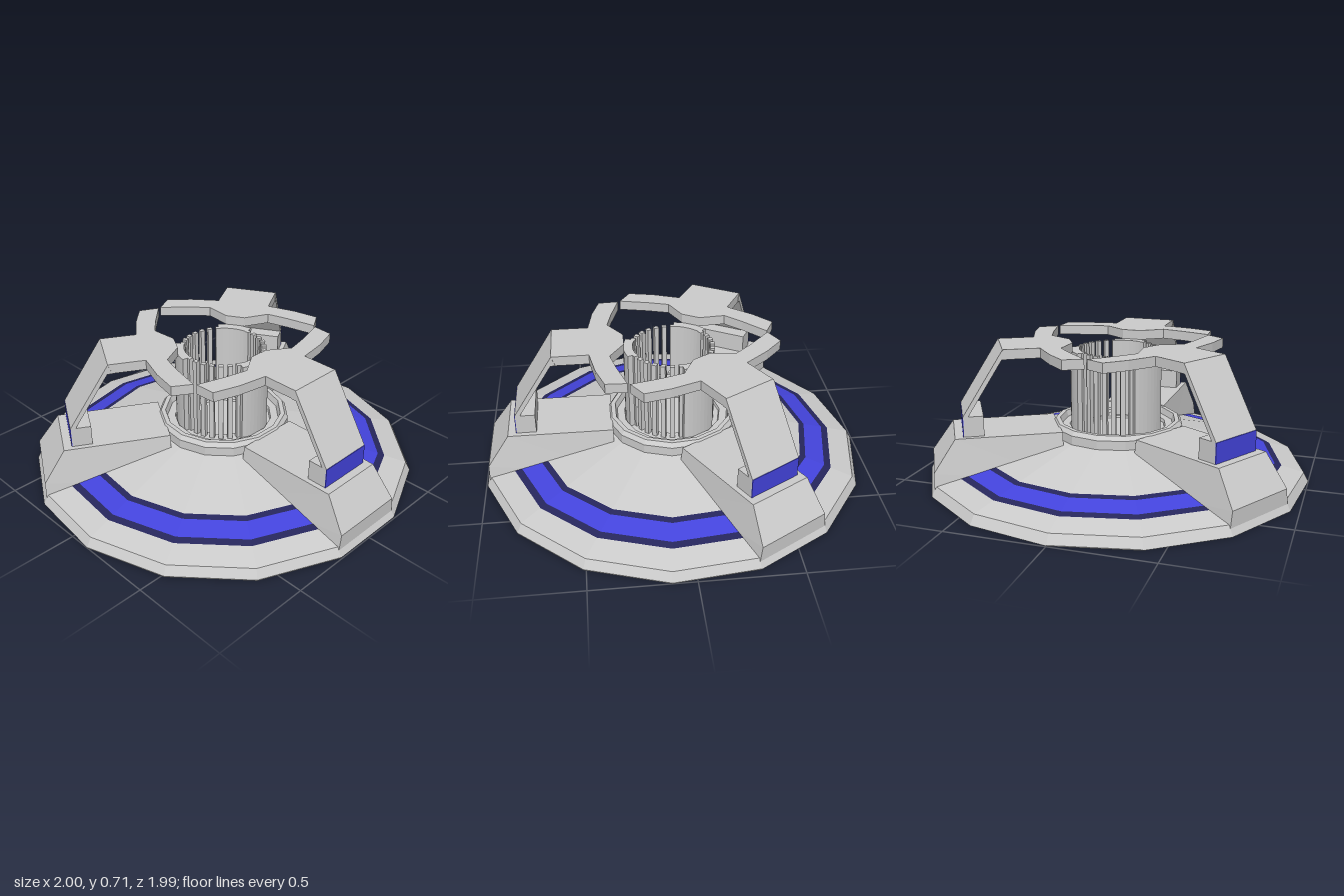
import * as THREE from 'three';

const SIDES = 15;
const mat = (color) => new THREE.MeshStandardMaterial({ color, flatShading: true, side: THREE.DoubleSide });

export function createModel() {
  const grey = mat(0xcccccc), blue = mat(0x4444dd), navy = mat(0x26265c);
  const model = new THREE.Group();
  model.name = 'landingPlatform';
  const body = new THREE.Group();
  body.name = 'body';
  body.position.z = 0.011; // a 15-sided disc is not symmetric front to back
  model.add(body);

  const add = (parent, name, geometry, material = grey) => {
    const mesh = new THREE.Mesh(geometry, material);
    mesh.name = name;
    parent.add(mesh);
    return mesh;
  };
  const vectors = (pts) => pts.map(([x, y]) => new THREE.Vector2(x, y));
  const lathe = (pts) => new THREE.LatheGeometry(vectors(pts), SIDES, Math.PI);

  // Extrudes a side profile (radius, height) to a given width
  const sideExtrude = (pts, width) => {
    const g = new THREE.ExtrudeGeometry(new THREE.Shape(vectors(pts)), { depth: width, bevelEnabled: false });
    g.translate(0, 0, -width / 2);
    g.rotateY(-Math.PI / 2);
    return g;
  };
  // Extrudes a plan outline (x, z) downward from a top height
  const planExtrude = (pts, top, depth) => {
    const g = new THREE.ExtrudeGeometry(new THREE.Shape(vectors(pts)), { depth, bevelEnabled: false });
    g.rotateX(Math.PI / 2);
    g.translate(0, top, 0);
    return g;
  };

  // Shallow faceted cone with a coloured band
  const slope = (r) => [r, 0.05 + (0.98 - r) * 0.265];
  add(body, 'baseRim', lathe([[0, 0], [1.0055, 0], [1.0055, 0.004], [0.98, 0.05], slope(0.865)]));
  add(body, 'bandOuterEdge', lathe([slope(0.865), slope(0.83)]), navy);
  add(body, 'band', lathe([slope(0.83), slope(0.73)]), blue);
  add(body, 'bandInnerEdge', lathe([slope(0.73), slope(0.7)]), navy);
  add(body, 'baseCone', lathe([slope(0.7), slope(0.34)]));

  // Stepped collar around the central column
  add(body, 'collar', lathe([
    [0.345, 0.21], [0.345, 0.265], [0.328, 0.287], [0.305, 0.287],
    [0.295, 0.255], [0.255, 0.255], [0.25, 0.24], [0.18, 0.24], [0.175, 0.23], [0, 0.23],
  ]));

  // Outline of the clawed top plate: right half, then mirrored
  const half = [[0.14, 0.605], [0.14, 0.42], [0.29, 0.395], [0.415, 0.355],
    [0.42, 0.25], [0.27, 0.295], [0.16, 0.32], [0.05, 0.245]];
  const outline = [...half, ...half.map(([x, z]) => [-x, z]).reverse()];

  // Three identical legs with their share of the column
  for (let i = 0; i < 3; i++) {
    const leg = new THREE.Group();
    leg.name = 'leg';
    leg.rotation.y = (i * Math.PI * 2) / 3;
    body.add(leg);

    // Strut on the base, narrowing towards its top
    const strut = sideExtrude([[0.32, 0.03], [0.967, 0.03], [0.967, 0.115], [0.855, 0.277], [0.32, 0.277]], 2);
    const p = strut.attributes.position;
    for (let k = 0; k < p.count; k++) {
      p.setX(k, p.getX(k) * (0.207 - Math.max(0, p.getY(k) - 0.05) * 0.17));
    }
    add(leg, 'strut', strut);

    // Foot block with a coloured outer face
    add(leg, 'foot', new THREE.BoxGeometry(0.285, 0.105, 0.1)).position.set(0, 0.3275, 0.76);
    add(leg, 'footPanel', new THREE.BoxGeometry(0.285, 0.103, 0.004), blue).position.set(0, 0.3275, 0.812);

    // Leaning arm and top plate
    add(leg, 'arm', sideExtrude([[0.812, 0.38], [0.605, 0.71], [0.585, 0.66], [0.61, 0.66], [0.785, 0.38]], 0.285));
    add(leg, 'topPlate', planExtrude(outline, 0.71, 0.05));

    // Curved column wall below the plate
    const wall = new THREE.Shape();
    const a = Math.PI / 2, spread = 0.38;
    wall.absarc(0, 0, 0.247, a - spread, a + spread, false);
    wall.absarc(0, 0, 0.2, a + spread, a - spread, true);
    const wallGeo = new THREE.ExtrudeGeometry(wall, { depth: 0.43, bevelEnabled: false, curveSegments: 4 });
    wallGeo.rotateX(Math.PI / 2);
    wallGeo.translate(0, 0.661, 0);
    add(leg, 'columnWall', wallGeo);

    // Thin rods filling the gap to the next wall
    for (let k = 0; k < 7; k++) {
      const angle = Math.PI / 3 + (k - 3) * 0.215;
      const rod = add(leg, 'columnRod', new THREE.BoxGeometry(0.024, 0.43, 0.024));
      rod.position.set(Math.sin(angle) * 0.208, 0.446, Math.cos(angle) * 0.208);
      rod.rotation.y = angle;
    }
  }
  return model;
}
